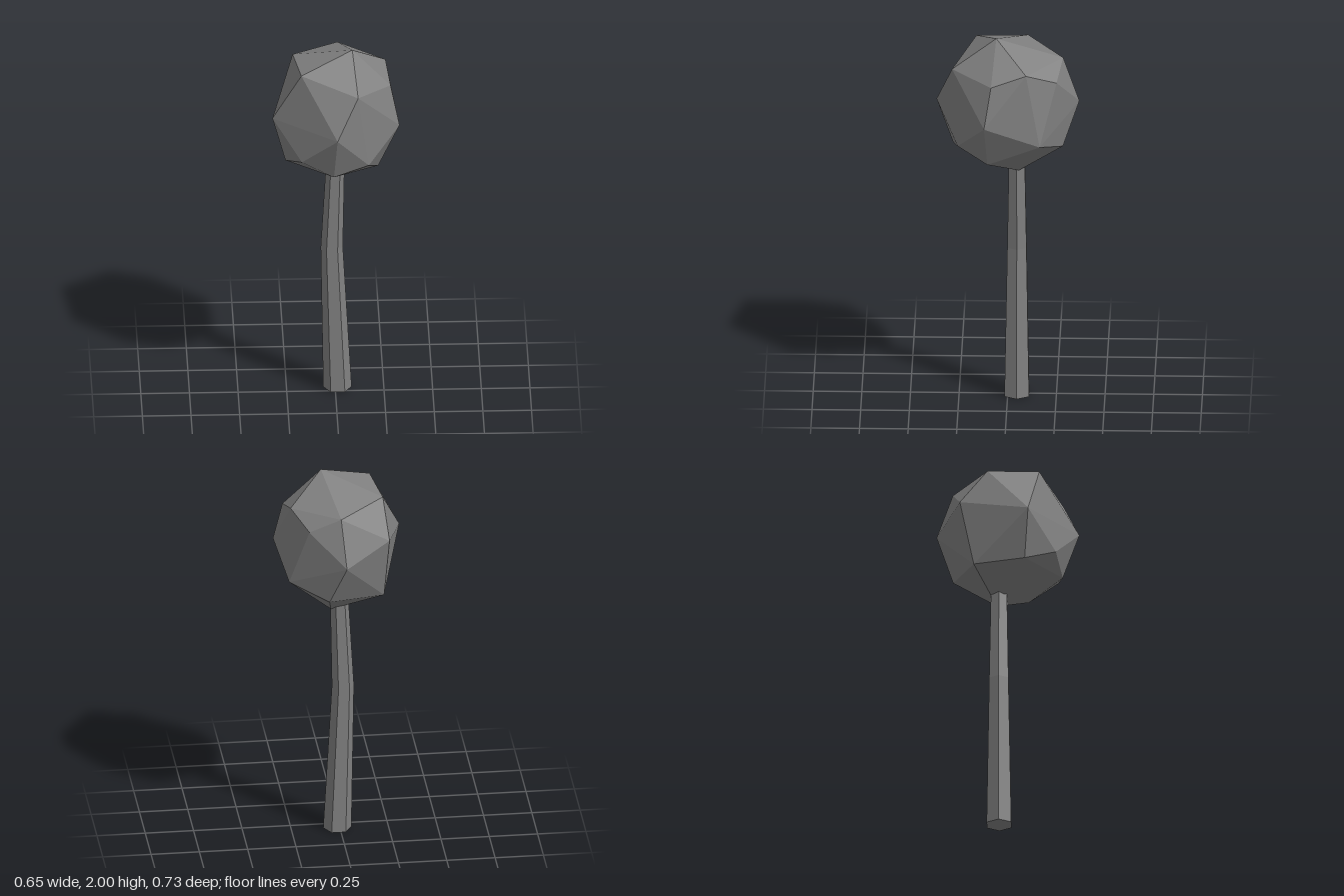
import * as THREE from 'three';
import { ConvexGeometry } from 'three/addons/geometries/ConvexGeometry.js';

export function createModel() {
  const group = new THREE.Group();
  const material = new THREE.MeshStandardMaterial({ color: 0x808080, flatShading: true });

  // Trunk: a tapering six-sided prism with a bend, from rings of [y, centre x, radius]
  const rings = [[0, 0.012, 0.073], [0.81, -0.017, 0.057], [1.32, 0.002, 0.047]];
  const trunkGeometry = new THREE.CylinderGeometry(1, 1, 2, 6, 2, false, Math.PI / 2);
  const pos = trunkGeometry.attributes.position;
  for (let i = 0; i < pos.count; i++) {
    const [y, cx, r] = rings[Math.round(pos.getY(i)) + 1];
    pos.setXYZ(i, cx + pos.getX(i) * r, y, -0.047 + pos.getZ(i) * r);
  }
  trunkGeometry.computeVertexNormals();
  const trunk = new THREE.Mesh(trunkGeometry, material);
  trunk.name = 'trunk';
  group.add(trunk);

  // Crown: an irregular faceted ball, the hull of its corners from top to bottom
  const corners = [
    [0.085, 2, 0.057], [-0.18, 1.91, 0.165], [-0.217, 1.9, -0.1],
    [0.02, 1.872, -0.285], [0.26, 1.863, -0.1], [0.108, 1.838, 0.284],
    [0.281, 1.805, 0.08], [0.181, 1.795, -0.255], [-0.235, 1.717, -0.242],
    [-0.327, 1.64, 0.111], [0, 1.63, 0.366], [0, 1.625, -0.368],
    [0.326, 1.592, 0.115], [0.276, 1.476, -0.17], [-0.18, 1.455, 0.25],
    [0.164, 1.434, 0.254], [0.08, 1.405, -0.285], [-0.26, 1.387, 0.092],
    [-0.016, 1.382, 0.281], [-0.215, 1.375, -0.171], [0.217, 1.353, 0.1],
    [0.047, 1.255, -0.058],
  ].map((p) => new THREE.Vector3(...p));
  const crown = new THREE.Mesh(new ConvexGeometry(corners), material);
  crown.name = 'crown';
  group.add(crown);

  return group;
}
